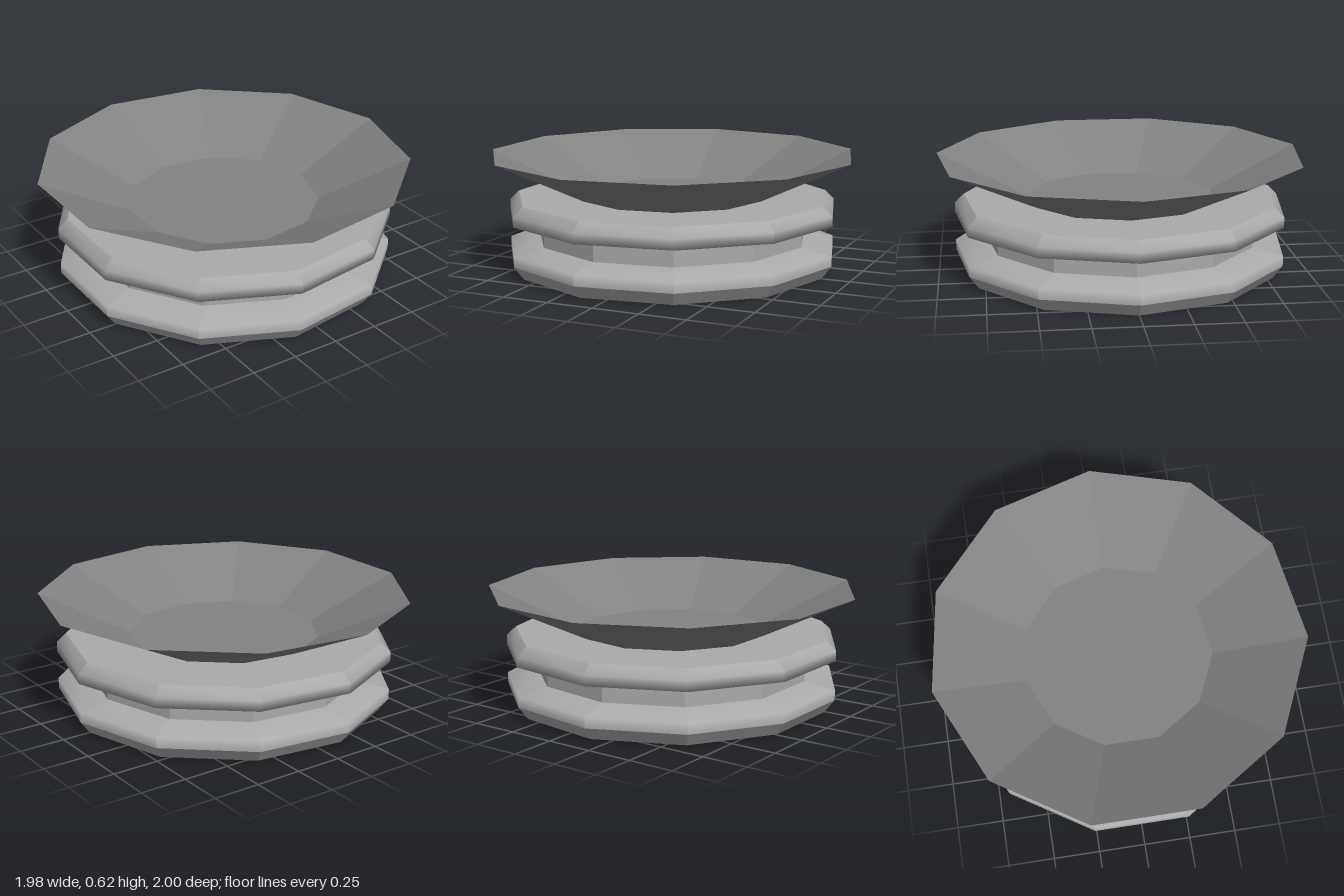
import * as THREE from 'three';
import { mergeGeometries } from 'three/addons/utils/BufferGeometryUtils.js';

const SIDES = 11;
const STEP = (Math.PI * 2) / SIDES;

// Faceted turning: flat from side to side, smooth along the profile
function facetedLathe(profile) {
  const points = profile.map(([r, y]) => new THREE.Vector2(r, y));
  const strips = [];
  for (let i = 0; i < SIDES; i++) {
    const strip = new THREE.LatheGeometry(points, 1, Math.PI / 2 + i * STEP, STEP);
    strip.computeVertexNormals();
    strips.push(strip);
  }
  return mergeGeometries(strips);
}

export function createModel() {
  const model = new THREE.Group();
  const bodyGrey = new THREE.MeshStandardMaterial({ color: 0xaaaaaa, side: THREE.DoubleSide });
  const dishGrey = new THREE.MeshStandardMaterial({ color: 0x828282, side: THREE.DoubleSide });

  // Each part is a set of profiles that meet at hard edges
  function addPart(name, material, profiles) {
    const mesh = new THREE.Mesh(mergeGeometries(profiles.map(facetedLathe)), material);
    mesh.name = name;
    mesh.position.x = -0.02; // centres the odd-sided outline
    model.add(mesh);
  }

  addPart('lowerFlange', bodyGrey, [
    [[0, 0], [0.865, 0]],
    [[0.865, 0], [0.917, 0.07]],
    [[0.917, 0.07], [0.917, 0.127], [0.75, 0.16]],
  ]);
  addPart('neck', bodyGrey, [[[0.75, 0.16], [0.75, 0.25]]]);
  addPart('upperFlange', bodyGrey, [
    [[0.75, 0.25], [0.917, 0.285], [0.917, 0.34], [0.865, 0.39]],
    [[0.865, 0.39], [0.52, 0.39]],
  ]);
  // Flared dish with its own floor
  addPart('dish', dishGrey, [
    [[0.52, 0.39], [0, 0.39]],
    [[0.52, 0.39], [1.008, 0.62]],
  ]);
  return model;
}
